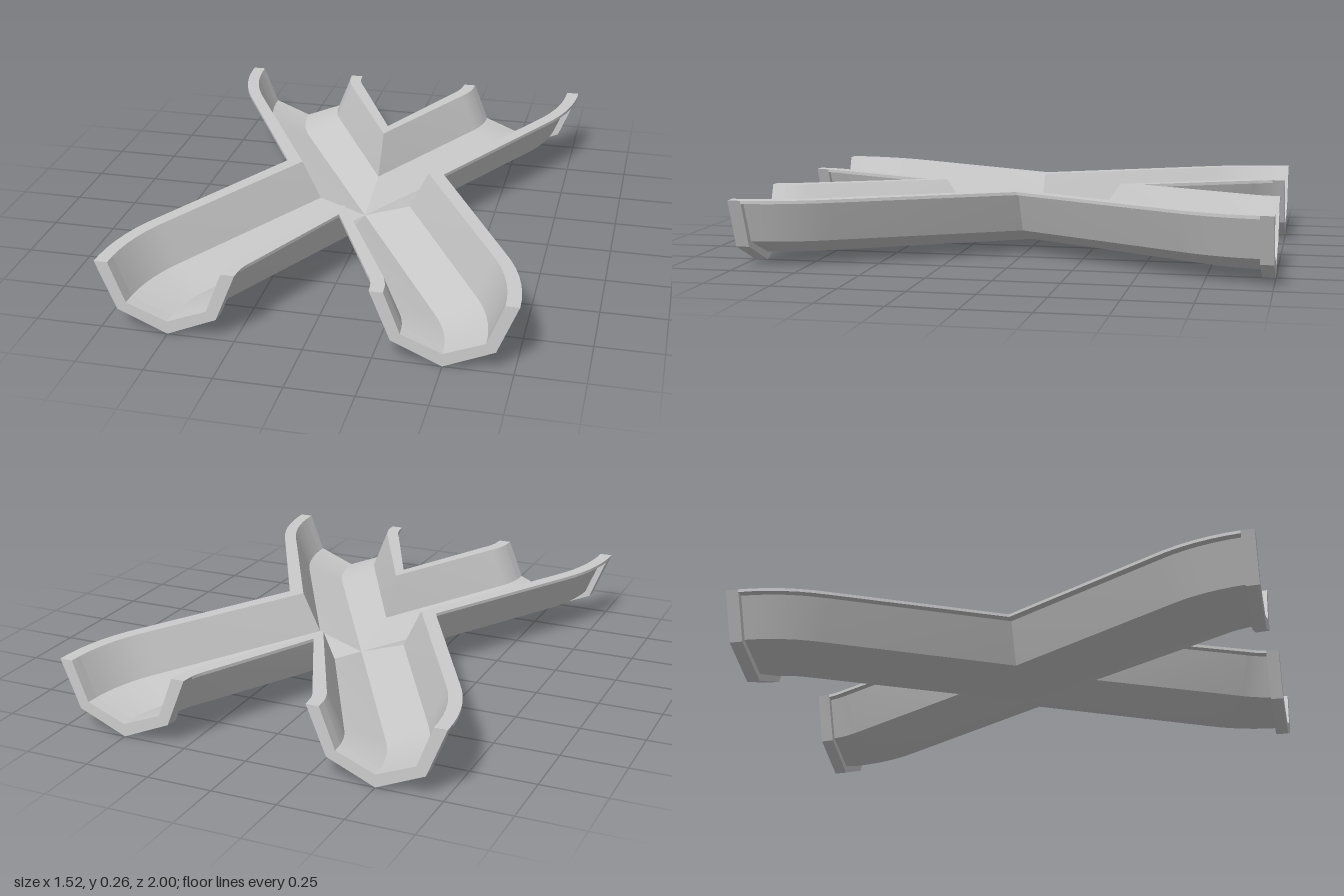
import * as THREE from 'three';
import { toCreasedNormals } from 'three/addons/utils/BufferGeometryUtils.js';

// Cross-sections as [offset from channel centre, height]; inside left to right, then outside back
const INSIDE = [[-0.21, 0.265], [-0.15, 0.11], [0, 0.05], [0.15, 0.11], [0.21, 0.265]];
const SHELL = [...INSIDE,
  [0.26, 0.265], [0.26, 0.253], [0.23, 0.253], [0.165, 0.097], [0, 0.03],
  [-0.165, 0.097], [-0.23, 0.253], [-0.26, 0.253], [-0.26, 0.265]];
const COLLAR = [...INSIDE,
  [0.26, 0.265], [0.185, 0.08], [0, 0], [-0.185, 0.08], [-0.26, 0.265]];
const COLLAR_DEPTH = 0.05;
const BEND_STEPS = 6;

// Point on the bend, which curves around (0, 1) in plan
function bendPoint([offset, y], angle) {
  const r = 0.5 + offset;
  return [r * Math.cos(angle), y, 1 - r * Math.sin(angle)];
}

// Point where the arm is mitred against its neighbours
function mitrePoint([offset, y]) {
  return offset >= 0 ? [offset * 1.24, y, 0] : [0, y, -offset * 1.7];
}

// Skin closed rings, optionally closing both ends, mirrored into a quadrant
function skin(rings, capped, sx, sz) {
  const pos = [];
  const tri = (a, b, c) => {
    const order = sx * sz > 0 ? [a, b, c] : [a, c, b];
    for (const p of order) pos.push(p[0] * sx, p[1], p[2] * sz);
  };
  const quad = (a, b, c, d) => { tri(a, b, c); tri(a, c, d); };
  const n = rings[0].length;
  for (let i = 0; i < rings.length - 1; i++) {
    for (let j = 0; j < n; j++) {
      const k = (j + 1) % n;
      quad(rings[i][j], rings[i + 1][j], rings[i + 1][k], rings[i][k]);
    }
  }
  if (capped) {
    const back = rings[0], front = rings[rings.length - 1];
    for (let j = 0; j < n / 2 - 1; j++) {
      quad(front[n - 1 - j], front[n - 2 - j], front[j + 1], front[j]);
      quad(back[j], back[j + 1], back[n - 2 - j], back[n - 1 - j]);
    }
  }
  const geo = new THREE.BufferGeometry();
  geo.setAttribute('position', new THREE.Float32BufferAttribute(pos, 3));
  return toCreasedNormals(geo, 0.25);
}

export function createModel() {
  const model = new THREE.Group();
  model.name = 'channelCrossing';
  const material = new THREE.MeshStandardMaterial({ color: 0xcccccc });
  const add = (name, geo, parent) => {
    const mesh = new THREE.Mesh(geo, material);
    mesh.name = name;
    parent.add(mesh);
  };
  const collarAngle = (p) => Math.asin(COLLAR_DEPTH / (0.5 + p[0]));

  // Thin channel: straight run from the crossing, then the bend up to the collar
  const channelRings = [SHELL.map(mitrePoint)];
  for (let i = 0; i <= BEND_STEPS; i++) {
    channelRings.push(SHELL.map((p) =>
      bendPoint(p, THREE.MathUtils.lerp(Math.PI / 6, collarAngle(p), i / BEND_STEPS))));
  }
  // Thick collar at the open end
  const collarRings = [
    COLLAR.map((p) => bendPoint(p, collarAngle(p))),
    COLLAR.map((p) => bendPoint(p, 0)),
  ];

  for (const sz of [1, -1]) {
    for (const sx of [1, -1]) {
      const arm = new THREE.Group();
      arm.name = (sz > 0 ? 'front' : 'back') + (sx > 0 ? 'Left' : 'Right') + 'Arm';
      add('channel', skin(channelRings, false, sx, sz), arm);
      add('endCollar', skin(collarRings, true, sx, sz), arm);
      model.add(arm);
    }
  }
  return model;
}
